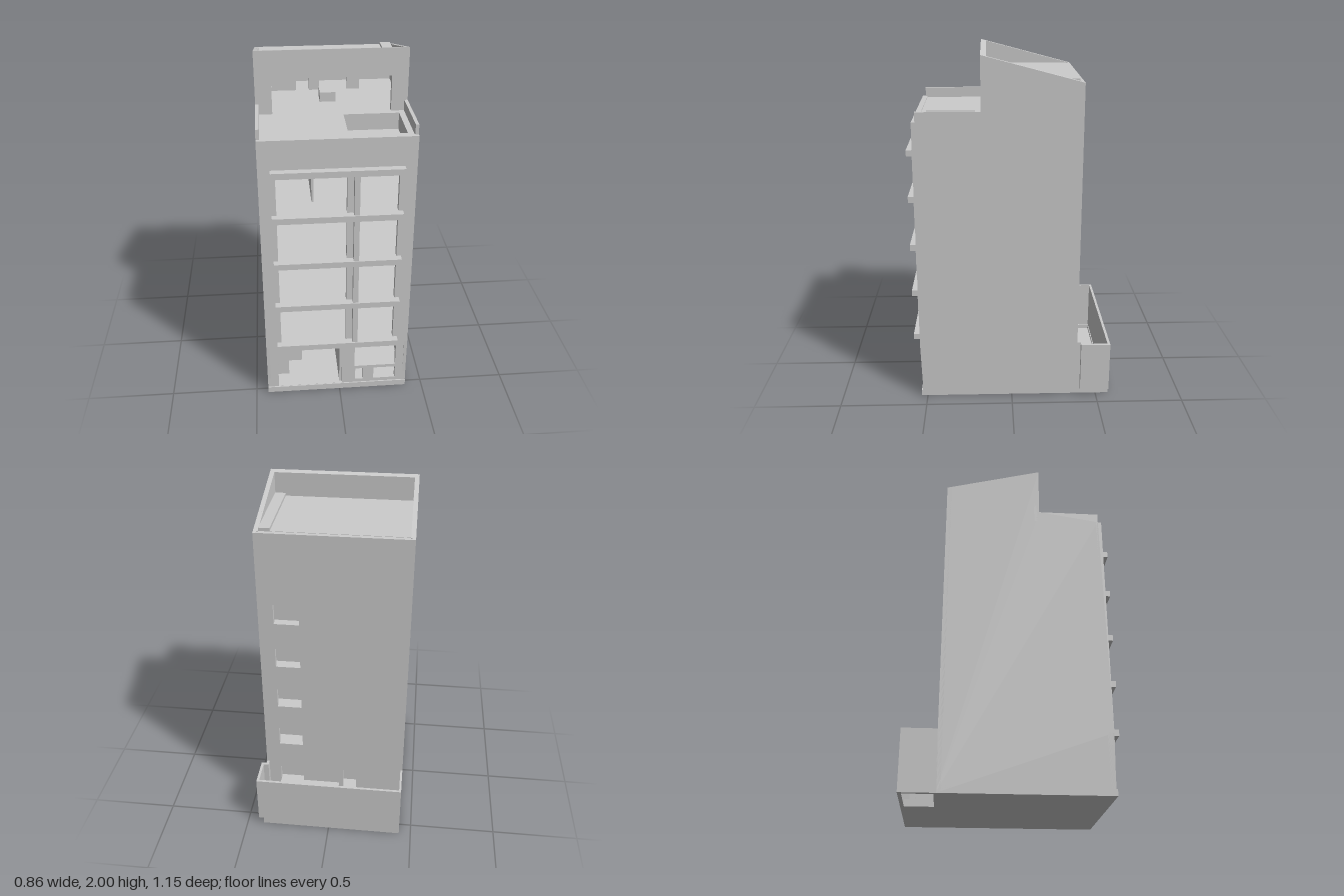
import * as THREE from 'three';

const mat = new THREE.MeshStandardMaterial({ color: 0xcccccc, flatShading: true });
const smooth = new THREE.MeshStandardMaterial({ color: 0xcccccc, side: THREE.DoubleSide });

export function createModel() {
  const model = new THREE.Group();
  model.name = 'building';

  const add = (name, geometry, material = mat) => {
    const mesh = new THREE.Mesh(geometry, material);
    mesh.name = name;
    model.add(mesh);
    return mesh;
  };

  // Box given by its limits on each axis
  const box = (name, x0, x1, y0, y1, z0, z1) => {
    const mesh = add(name, new THREE.BoxGeometry(x1 - x0, y1 - y0, z1 - z0));
    mesh.position.set((x0 + x1) / 2, (y0 + y1) / 2, (z0 + z1) / 2);
    return mesh;
  };

  // Upright wall facing z, with rectangular openings [x0, x1, y0, y1]
  const wall = (name, x0, x1, y0, y1, z0, z1, openings) => {
    const outline = (a, b, c, d) => [[a, c], [b, c], [b, d], [a, d]].map(p => new THREE.Vector2(...p));
    const shape = new THREE.Shape(outline(x0, x1, y0, y1));
    for (const o of openings) shape.holes.push(new THREE.Path(outline(...o).reverse()));
    const mesh = add(name, new THREE.ExtrudeGeometry(shape, { depth: z1 - z0, bevelEnabled: false }));
    mesh.position.z = z0;
    return mesh;
  };

  // Prism with a (z, y) profile running from x0 to x1
  const prism = (name, x0, x1, profile) => {
    const shape = new THREE.Shape(profile.map(p => new THREE.Vector2(...p)));
    const mesh = add(name, new THREE.ExtrudeGeometry(shape, { depth: x1 - x0, bevelEnabled: false }));
    mesh.rotation.y = -Math.PI / 2;
    mesh.position.x = x1;
    return mesh;
  };

  const floors = [0.375, 0.655, 0.935, 1.22];
  const ceilings = [0.61, 0.89, 1.17, 1.45];

  // Side walls with terrace parapet and sloping top
  const side = [[-0.385, 0], [0.525, 0], [0.535, 0.335], [0.535, 1.65], [0.515, 1.65],
    [0.515, 1.705], [0.165, 1.705], [0.165, 2], [-0.385, 1.855]];
  prism('rightWall', -0.43, -0.412, side);
  prism('leftWall', 0.382, 0.4, side);

  // Base and front walls
  box('base', -0.43, 0.4, 0, 0.037, -0.385, 0.535);
  wall('groundFrontWall', -0.43, 0.4, 0.035, 0.336, 0.5, 0.528, [
    [-0.365, 0.015, 0.038, 0.334],
    [0.09, 0.335, 0.16, 0.3],
    [0.095, 0.14, 0.06, 0.14],
    [0.205, 0.335, 0.06, 0.14],
  ]);
  const bays = [];
  floors.forEach((y, i) => {
    bays.push([-0.34, 0.035, y, ceilings[i]], [0.1, 0.31, y, ceilings[i]]);
  });
  wall('upperFrontWall', -0.43, 0.4, 0.335, 1.65, 0.505, 0.535, bays);

  // Projecting ledges and the post between them
  for (const y of [...floors, 1.485]) box('frontLedge', -0.365, 0.335, y - 0.035, y, 0.53, 0.575);
  box('frontPost', 0.07, 0.1, 0.375, 1.45, 0.53, 0.568);

  // Back wall with one window on each floor
  const windows = [[0.175, 0.315, 0.2, 0.3], [-0.15, -0.07, 0.045, 0.305]];
  for (let i = 0; i < 4; i++) windows.push([0.175, 0.315, 0.48 + i * 0.28, 0.6 + i * 0.28]);
  wall('backWall', -0.43, 0.4, 0, 1.855, -0.385, -0.36, windows);

  // Floor slabs and inner partitions
  floors.forEach((y, i) => {
    box('floorSlab', -0.42, 0.39, y - 0.04, y, -0.37, 0.52);
    box('crossPartition', -0.42, 0.39, y, ceilings[i] + 0.01, -0.17, -0.15);
    box('sidePartition', 0.175, i < 3 ? 0.225 : 0.19, y, ceilings[i] + 0.01, -0.15, 0.05);
    if (i < 3) {
      const h = ceilings[i] + 0.01 - y;
      const arc = add('curvedPartition',
        new THREE.CylinderGeometry(0.14, 0.14, h, 24, 1, true, 0, Math.PI / 2), smooth);
      arc.position.set(-0.2, y + h / 2, 0);
      box('innerDoor', -0.13, -0.07, y - 0.01, y + 0.2, 0.13, 0.145);
    } else {
      box('topPartition', -0.147, -0.135, y, 1.46, -0.15, 0.4);
    }
  });

  // Stepped partitions and rear wall of the entrance hall
  [[-0.3, 0.42], [-0.215, 0.3], [-0.195, 0.2], [-0.06, 0.08]].forEach(([x, z]) =>
    box('entrancePartition', -0.42, x, 0.03, 0.34, -0.15, z));
  box('hallWall', 0.0, 0.02, 0.03, 0.34, -0.15, 0.51);
  box('hallRearWall', -0.42, 0.39, 0.03, 0.34, -0.17, -0.15);

  // Terrace deck with a sunken well
  box('deckBelowWell', -0.42, 0.39, 1.45, 1.55, -0.37, 0.52);
  box('deckRear', -0.42, 0.39, 1.55, 1.645, -0.37, 0.2);
  box('deckFront', -0.42, 0.39, 1.55, 1.645, 0.48, 0.52);
  box('deckRight', -0.42, 0.045, 1.55, 1.645, 0.2, 0.48);
  box('deckLeft', 0.35, 0.39, 1.55, 1.645, 0.2, 0.48);

  // Penthouse front frame with a wide opening
  box('penthousePier', -0.43, -0.34, 1.64, 1.846, 0.135, 0.165);
  box('penthousePier', 0.31, 0.4, 1.64, 1.846, 0.135, 0.165);
  prism('penthouseLintel', -0.43, 0.4, [[0.135, 1.845], [0.165, 1.845], [0.165, 2], [0.135, 1.992]]);
  for (const [x0, x1] of [[-0.34, -0.195], [-0.12, -0.06], [0.1, 0.175]])
    box('penthousePartition', x0, x1, 1.64, 1.846, -0.22, -0.2);
  box('penthouseCounter', -0.07, 0.02, 1.64, 1.7, -0.1, 0.0);

  // Flat roof sunk behind the sloping rim, with a raised strip
  box('roofPanel', -0.42, 0.39, 1.845, 1.857, -0.36, 0.14);
  box('roofStrip', 0.315, 0.375, 1.85, 1.873, -0.36, 0.14);
  prism('roofRim', -0.413, -0.405, [[-0.37, 1.845], [0.14, 1.845], [0.14, 1.993], [-0.37, 1.859]]);
  prism('roofRim', 0.375, 0.383, [[-0.37, 1.845], [0.14, 1.845], [0.14, 1.993], [-0.37, 1.859]]);

  // Rear yard: floor with an open shaft, walls and a side bay
  box('yardFloor', -0.13, 0.4, 0, 0.04, -0.575, -0.38);
  box('shaftEdge', -0.43, -0.13, 0, 0.04, -0.575, -0.555);
  box('shaftEdge', -0.43, -0.13, 0, 0.04, -0.395, -0.38);
  box('shaftEdge', -0.43, -0.405, 0, 0.04, -0.575, -0.38);
  box('yardBackWall', -0.43, 0.4, 0, 0.336, -0.575, -0.56);
  box('yardBackWall', 0.4, 0.43, 0.04, 0.336, -0.575, -0.56);
  box('yardRightWall', -0.43, -0.418, 0, 0.336, -0.575, -0.38);
  box('bayFloor', 0.385, 0.43, 0.04, 0.055, -0.575, -0.405);
  box('bayWall', 0.415, 0.43, 0.04, 0.336, -0.575, -0.405);
  box('bayReturn', 0.385, 0.43, 0.04, 0.336, -0.423, -0.405);
  box('yardLeftWall', 0.385, 0.4, 0.03, 0.336, -0.423, -0.38);
  box('yardPlatform', -0.045, 0.315, 0.03, 0.2, -0.505, -0.38);
  box('yardStep', -0.075, -0.045, 0.03, 0.1, -0.41, -0.5 + 0.0).scale.z = -1;
  box('yardBlock', 0.315, 0.385, 0.03, 0.12, -0.56, -0.46);

  return model;
}
